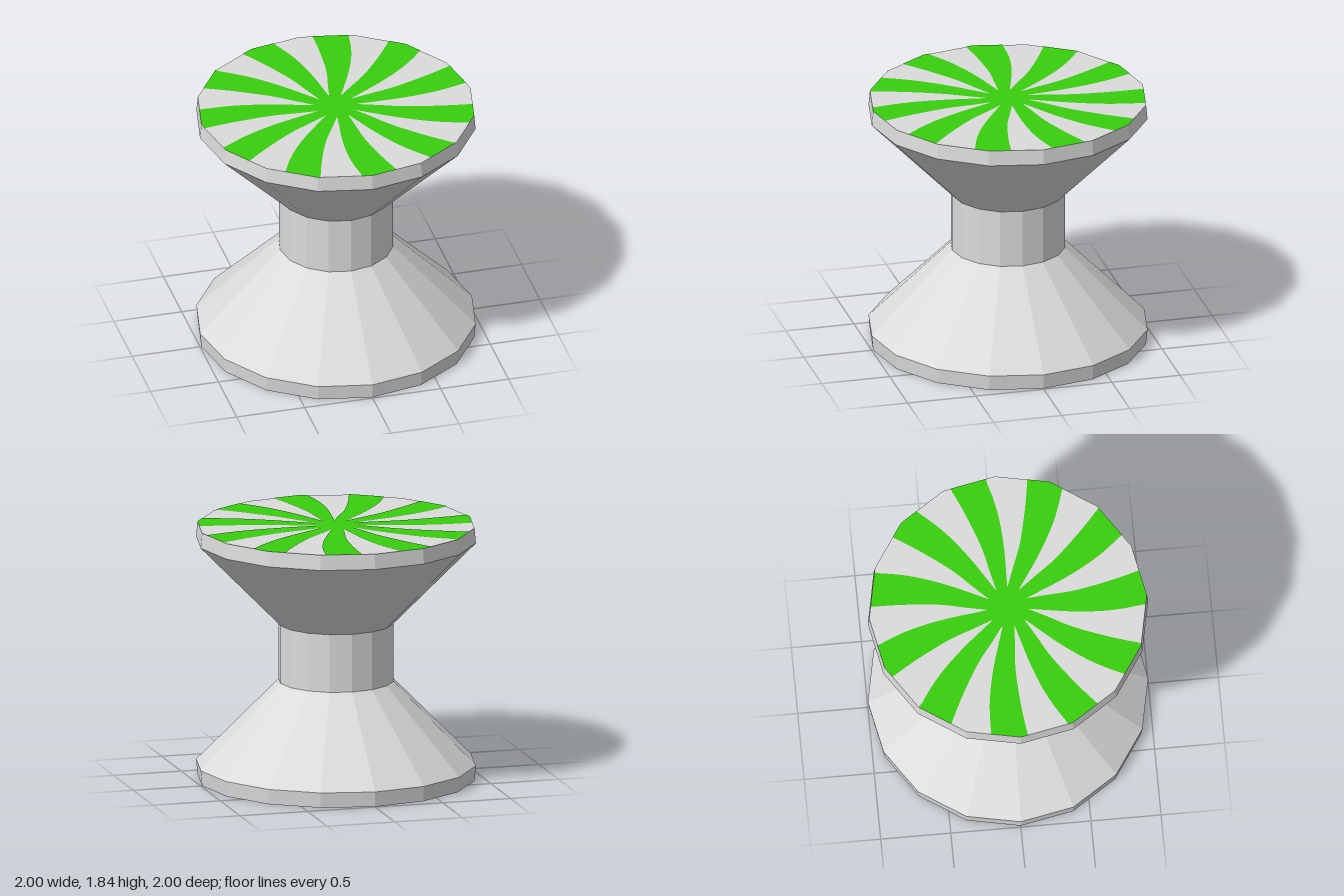
import * as THREE from 'three';

const SIDES = 16, STRIPES = 11, HALF = 0.92, R = 0.99;
const rad = THREE.MathUtils.degToRad;

// radius of the sixteen-sided end face at an angle in degrees
function rimRadius(a) {
  const step = 360 / SIDES;
  const m = ((a % step) + step) % step;
  return R * Math.cos(rad(step / 2)) / Math.cos(rad(m - step / 2));
}

// stripe edges: (radius, angle from the stripe's centre line)
const curve = (pts) => new THREE.SplineCurve(pts.map(([r, a]) => new THREE.Vector2(r, a))).getPoints(20);
const lowEdge = curve([[0.15, -17.5], [0.18, -14], [0.28, -9.5], [0.45, -6], [0.7, -6.3], [0.94, -7.5]]);
const highEdge = curve([[0.15, 15.2], [0.18, 14.6], [0.28, 14], [0.45, 13.3], [0.7, 11.2], [0.94, 8]]);

// one outline holding the hub and all the swirling stripes
function swirlGeometry() {
  const pts = [];
  const add = (r, a) => pts.push(new THREE.Vector2(r * Math.cos(rad(a)), -r * Math.sin(rad(a))));
  for (let i = 0; i < STRIPES; i++) {
    const centre = 21 + i * 360 / STRIPES;
    lowEdge.forEach((p) => add(p.x, centre + p.y));
    for (let k = 0; k <= 16; k++) {
      const a = centre - 7.7 + 15.4 * k / 16;
      add(rimRadius(a), a);
    }
    [...highEdge].reverse().forEach((p) => add(p.x, centre + p.y));
  }
  return new THREE.ShapeGeometry(new THREE.Shape(pts)).rotateX(-Math.PI / 2);
}

export function createModel() {
  const grey = new THREE.MeshStandardMaterial({ color: 0xdcdcdc, flatShading: true });
  grey.name = 'lightGrey';
  const green = new THREE.MeshStandardMaterial({ color: 0x3acf0f, flatShading: true });
  green.name = 'green';

  const model = new THREE.Group();
  model.name = 'spool';

  const part = (parent, name, geometry, material, y) => {
    const mesh = new THREE.Mesh(geometry, material);
    mesh.name = name;
    mesh.position.y = y;
    parent.add(mesh);
  };

  // flared end, measured from the middle of the spool
  const makeEnd = (name) => {
    const end = new THREE.Group();
    end.name = name;
    part(end, 'flare', new THREE.CylinderGeometry(1, 0.41, 0.6, SIDES, 1, true), grey, 0.51);
    part(end, 'rim', new THREE.CylinderGeometry(R, 1, 0.11, SIDES, 1, true), grey, 0.865);
    part(end, 'endFace', new THREE.CircleGeometry(R, SIDES).rotateX(-Math.PI / 2), grey, HALF - 0.003);
    part(end, 'swirl', swirlGeometry(), green, HALF);
    end.position.y = HALF;
    model.add(end);
    return end;
  };
  makeEnd('topEnd');
  makeEnd('bottomEnd').rotation.z = Math.PI;

  // neck between the two ends
  part(model, 'neck', new THREE.CylinderGeometry(0.41, 0.41, 0.42, SIDES, 1, true), grey, HALF);

  return model;
}
